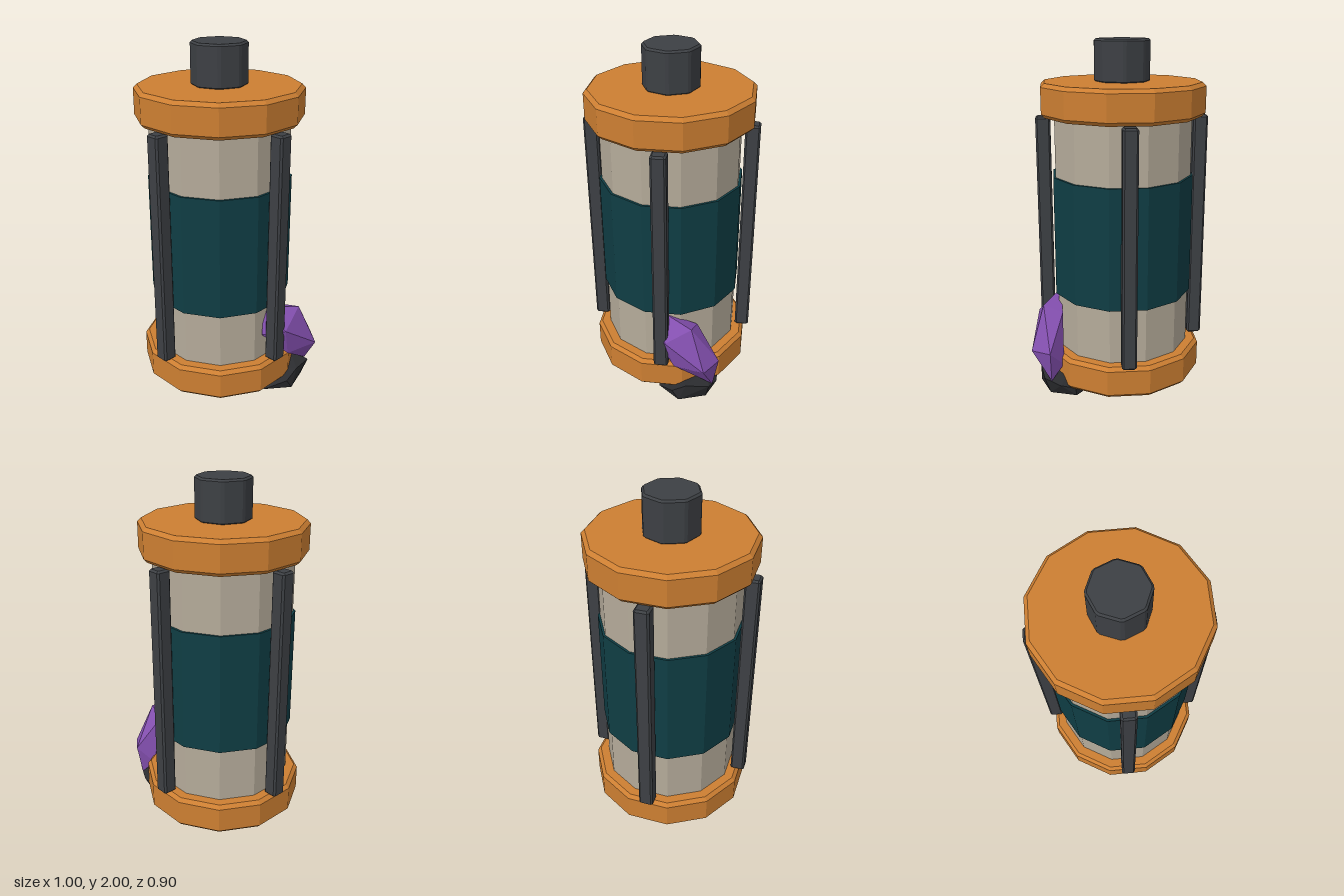
import * as THREE from 'three';
import { ConvexGeometry } from 'three/addons/geometries/ConvexGeometry.js';

const mat = (color) => new THREE.MeshStandardMaterial({ color, flatShading: true });
const AXIS_X = -0.05; // the canister sits off centre, the crystal balances it

export function createModel() {
  const group = new THREE.Group();
  const bronze = mat(0xcd7f32);
  const iron = mat(0x3d4044);
  const glass = mat(0xb5ab9a);
  const teal = mat(0x0f3d44);
  const purple = mat(0x8450b0);
  const stone = mat(0x2b2c2f);

  const add = (name, geometry, material, parent = group) => {
    const mesh = new THREE.Mesh(geometry, material);
    mesh.name = name;
    parent.add(mesh);
    return mesh;
  };

  const canister = new THREE.Group();
  canister.name = 'canister';
  canister.position.x = AXIS_X;
  group.add(canister);

  // Twelve-sided disc with bevelled rims
  const disc = (r, y0, y1, b) => new THREE.LatheGeometry(
    [[0, y0], [r - b, y0], [r, y0 + b], [r, y1 - b], [r - b, y1], [0, y1]]
      .map(([x, y]) => new THREE.Vector2(x, y)), 12);

  // Upright prism with every edge chamfered
  const prism = (sides, r, y0, y1, b, turn) => {
    const corner = (i) => {
      const a = turn + (i / sides) * Math.PI * 2;
      return new THREE.Vector2(Math.cos(a) * r, Math.sin(a) * r);
    };
    const points = [];
    for (let i = 0; i < sides; i++) {
      const c = corner(i);
      for (const n of [corner(i - 1), corner(i + 1)]) {
        points.push(c.clone().add(n.sub(c).setLength(b)));
      }
    }
    const geometry = new THREE.ExtrudeGeometry(new THREE.Shape(points), {
      depth: y1 - y0 - 2 * b, bevelEnabled: true, bevelSegments: 1,
      bevelThickness: b, bevelSize: b, bevelOffset: -b,
    });
    return geometry.rotateX(-Math.PI / 2).translate(0, y0 + b, 0);
  };

  // End caps, body and label band
  add('bottomCap', disc(0.45, 0.12, 0.3, 0.02), bronze, canister);
  add('topCap', disc(0.45, 1.6, 1.78, 0.02), bronze, canister);
  add('body', new THREE.CylinderGeometry(0.38, 0.38, 1.34, 12).translate(0, 0.95, 0), glass, canister);
  add('band', new THREE.CylinderGeometry(0.393, 0.393, 0.67, 12).translate(0, 0.945, 0), teal, canister);

  // Stopper on top
  add('stopper', prism(8, 0.153, 1.775, 2, 0.01, 0), iron, canister);

  // Four square rods on the diagonals
  for (let i = 0; i < 4; i++) {
    const a = Math.PI / 4 + (i * Math.PI) / 2;
    const rod = add('rod', prism(4, 0.04 * Math.SQRT2, 0.303, 1.597, 0.01, Math.PI / 4), iron, canister);
    rod.position.set(Math.cos(a) * 0.428, 0, Math.sin(a) * 0.428);
    rod.rotation.y = -a;
  }

  const hull = (points) => new ConvexGeometry(points.map((p) => new THREE.Vector3(...p)));

  // Faceted crystal leaning against the front left rod
  add('crystal', hull([
    [0.495, 0.33, 0.195], [0.476, 0.34, 0.07], [0.39, 0.57, 0.2], [0.31, 0.48, 0.32],
    [0.45, 0.16, 0.09], [0.19, 0.6, 0.255], [0.33, 0.53, 0.11], [0.33, 0.31, 0.275],
    [0.18, 0.45, 0.305], [0.37, 0.24, 0.07],
  ]), purple);

  // Rough stone under the crystal
  add('stone', hull([
    [0.27, 0, 0.14], [0.43, 0.07, 0.12], [0.07, 0.07, 0.14], [0.2, 0.07, 0.285],
    [0.36, 0.07, 0.265], [0.36, 0.07, -0.015], [0.18, 0.07, 0], [0.465, 0.17, 0.13],
    [0.43, 0.14, 0.04], [0.33, 0.13, 0.288], [0.37, 0.12, -0.015], [0.11, 0.12, 0.14],
    [0.36, 0.19, 0.05], [0.39, 0.18, 0.235],
  ]), stone);

  return group;
}
